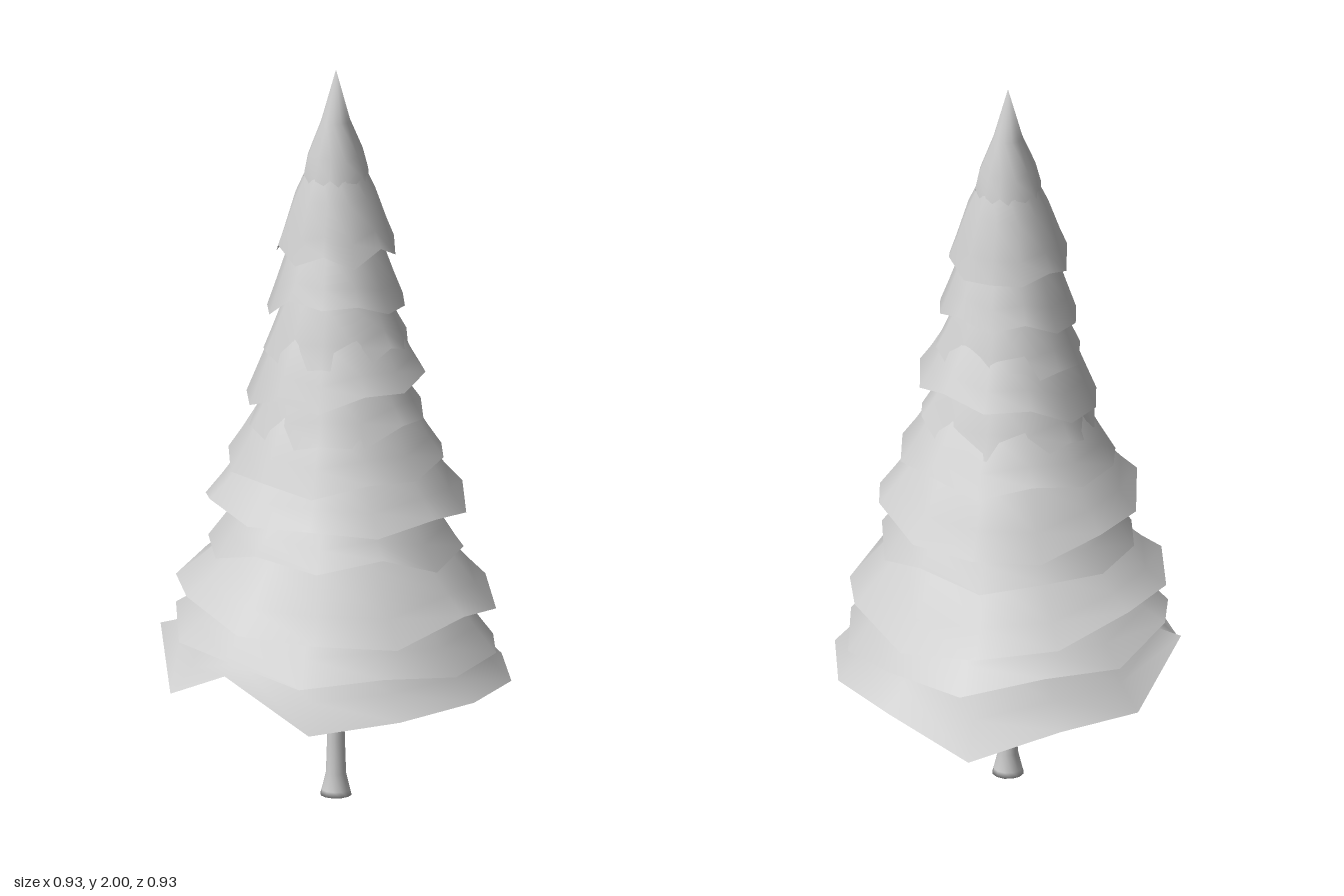
import * as THREE from 'three';
import { mergeVertices } from 'three/addons/utils/BufferGeometryUtils.js';

const SIDES = 12;

// small seeded generator for the ragged rims
function seeded(seed) {
  return () => (seed = (seed * 16807) % 2147483647) / 2147483647;
}

// an open skirt of foliage: profile of [radius, rise above y, share of the rim's raggedness],
// rim corners counted from the front towards +x
function skirt(profile, y, rimHeights, phase) {
  const n = profile.length;
  let geo = new THREE.LatheGeometry(profile.map(([r, rise]) => new THREE.Vector2(r, y + rise)), SIDES, phase);
  const pos = geo.attributes.position;
  for (let i = 0; i <= SIDES; i++) {
    for (let j = 0; j < n; j++) {
      const k = i * n + j;
      pos.setY(k, pos.getY(k) + (rimHeights[i % SIDES] - y) * profile[j][2]);
    }
  }
  geo.deleteAttribute('normal');
  geo.deleteAttribute('uv');
  geo = mergeVertices(geo);
  geo.computeVertexNormals();
  return geo;
}

export function createModel() {
  const tree = new THREE.Group();
  tree.name = 'firTree';
  const foliageMat = new THREE.MeshStandardMaterial({ color: 0xcccccc, side: THREE.DoubleSide });
  const barkMat = new THREE.MeshStandardMaterial({ color: 0xcccccc });
  const rand = seeded(4711);

  // trunk with flared foot
  const trunkProfile = [[0, 0], [0.042, 0], [0.038, 0.015], [0.027, 0.06], [0.024, 0.15], [0.019, 0.34], [0.015, 0.8], [0, 0.85]];
  const trunk = new THREE.Mesh(
    new THREE.LatheGeometry(trunkProfile.map(p => new THREE.Vector2(...p)), 12), barkMat);
  trunk.name = 'trunk';
  tree.add(trunk);

  // pointed crown tip
  const tipRim = Array.from({ length: SIDES }, (_, i) => (i % 2 ? 1.68 : 1.72));
  const tip = new THREE.Mesh(
    skirt([[0.09, 0, 1], [0.075, 0.07, 0.3], [0.039, 0.16, 0], [0, 0.3, 0]], 1.7, tipRim, 0), foliageMat);
  tip.name = 'crownTip';
  tree.add(tip);

  // layered skirts, top to bottom: radius, rim heights at front, +x, back, -x
  const tiers = [
    [0.16, [1.53, 1.5, 1.5, 1.49]],
    [0.185, [1.39, 1.36, 1.37, 1.34]],
    [0.195, [1.23, 1.24, 1.23, 1.22]],
    [0.24, [1.12, 1.18, 1.16, 1.1]],
    [0.235, [1.03, 1.05, 1.02, 1.01]],
    [0.29, [0.9, 0.95, 0.93, 0.94]],
    [0.35, [0.83, 0.8, 0.78, 0.81]],
    [0.34, [0.71, 0.7, 0.68, 0.7]],
    [0.425, [0.54, 0.53, 0.53, 0.59]],
    [0.432, [0.42, 0.42, 0.42, 0.5]],
  ];
  const skirts = new THREE.Group();
  skirts.name = 'foliageLayers';
  tree.add(skirts);

  function addSkirt(r, y, rim, phase, midRatio, topRatio) {
    const profile = [[r, 0, 1], [r * 0.87, 0.06, 0.6], [r * midRatio, 0.155, 0.15], [r * topRatio, 0.26, 0]];
    const mesh = new THREE.Mesh(skirt(profile, y, rim, phase), foliageMat);
    mesh.name = 'foliageLayer' + (skirts.children.length + 1);
    skirts.add(mesh);
  }

  // corners between the four given heights are blended and made ragged
  tiers.forEach(([r, quarter], t) => {
    const y = quarter.reduce((a, b) => a + b) / 4;
    const rim = Array.from({ length: SIDES }, (_, i) => {
      const q = Math.floor(i / 3);
      const f = (i % 3) / 3;
      const zigzag = (i + t) % 2 ? -0.015 : 0.02;
      const ragged = f ? zigzag + (rand() - 0.4) * 0.03 : 0;
      return THREE.MathUtils.lerp(quarter[q], quarter[(q + 1) % 4], f) + ragged;
    });
    addSkirt(r, y, rim, (rand() - 0.5) * 0.12, 0.68, 0.38);
  });

  // lowest skirt
  const lowRim = [0.305, 0.335, 0.345, 0.335, 0.335, 0.34, 0.25, 0.335, 0.33, 0.45, 0.33, 0.44];
  addSkirt(0.467, 0.34, lowRim, 0.02, 0.74, 0.6);

  return tree;
}
